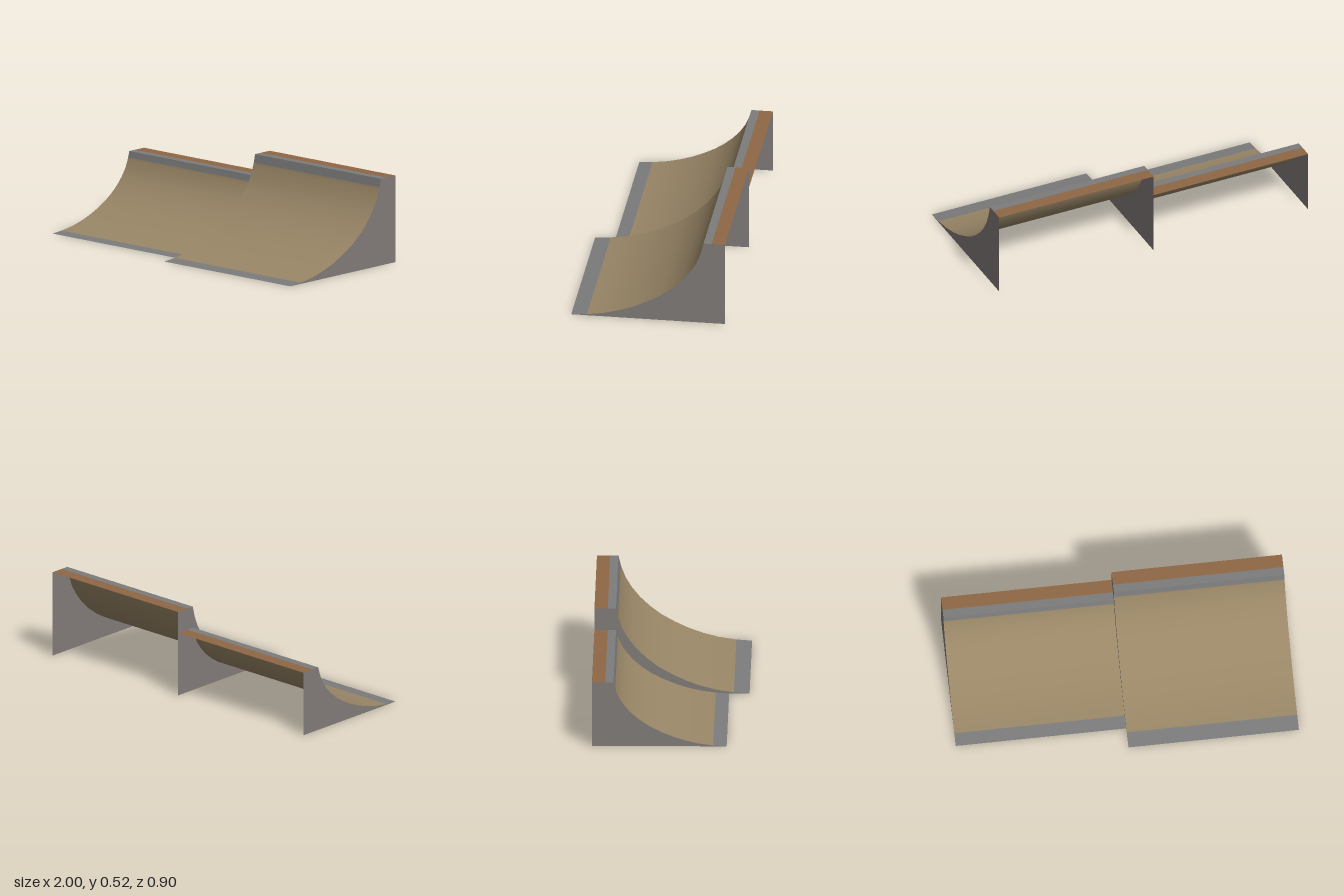
import * as THREE from 'three';

const mat = (name, color) => {
  const m = new THREE.MeshStandardMaterial({ color, side: THREE.DoubleSide });
  m.name = name;
  return m;
};

// Ramp curve from deck edge to floor lip: [run, rise] in units of the tall ramp
const CURVE = [
  [0.779, 0.517], [0.767, 0.468], [0.762, 0.45], [0.737, 0.385], [0.7, 0.325],
  [0.652, 0.265], [0.595, 0.211], [0.528, 0.16], [0.45, 0.116], [0.37, 0.078],
  [0.285, 0.047], [0.195, 0.023], [0.092, 0.007], [0, 0],
];
const BACK = -0.453, EDGE = -0.327;

export function createModel() {
  const wood = mat('ramp wood', 0x9a8767);
  const deckWood = mat('deck wood', 0x8f6845);
  const metal = mat('metal trim', 0x7d7c7c);
  const sideGrey = mat('side panel grey', 0x817c79);
  const model = new THREE.Group();
  model.name = 'quarterPipes';

  function add(parent, name, geometry, material) {
    const mesh = new THREE.Mesh(geometry, material);
    mesh.name = name;
    parent.add(mesh);
    return mesh;
  }

  function ramp(name, x, height, front) {
    const g = new THREE.Group();
    g.name = name;
    g.position.x = x;
    const profile = CURVE.map(([run, rise]) =>
      [front - run / 0.779 * (front - EDGE), rise / 0.517 * height]);

    // Curved riding surface, with metal strips along the top and the floor lip
    const rows = profile.length - 1;
    const sheet = new THREE.PlaneGeometry(1, 1, 1, rows);
    const p = sheet.attributes.position;
    for (let i = 0; i < p.count; i++) {
      const [z, y] = profile[Math.floor(i / 2)];
      p.setXYZ(i, p.getX(i), y, z);
    }
    sheet.computeVertexNormals();
    sheet.clearGroups();
    sheet.addGroup(0, 6, 1);
    sheet.addGroup(6, (rows - 2) * 6, 0);
    sheet.addGroup((rows - 1) * 6, 6, 1);
    add(g, 'ridingSurface', sheet, [wood, metal]);

    // Flat deck: wood behind, metal edge in front
    const deckStrip = (label, z0, z1, material) => {
      const strip = new THREE.PlaneGeometry(1, z1 - z0).rotateX(-Math.PI / 2);
      add(g, label, strip, material).position.set(0, height, (z0 + z1) / 2);
    };
    deckStrip('deck', BACK, -0.375, deckWood);
    deckStrip('deckEdge', -0.375, EDGE, metal);

    // Side panels under the curve; back and bottom stay open
    const outline = [[BACK, 0], [BACK, height], ...profile];
    const shape = new THREE.Shape(outline.map(([z, y]) => new THREE.Vector2(-z, y)));
    for (const side of [-1, 1]) {
      const panel = new THREE.ShapeGeometry(shape).rotateY(Math.PI / 2);
      add(g, side > 0 ? 'leftPanel' : 'rightPanel', panel, sideGrey).position.x = side * 0.5;
    }
    model.add(g);
  }

  ramp('tallRamp', 0.5, 0.517, 0.452);
  ramp('lowRamp', -0.5, 0.387, 0.333);
  return model;
}
